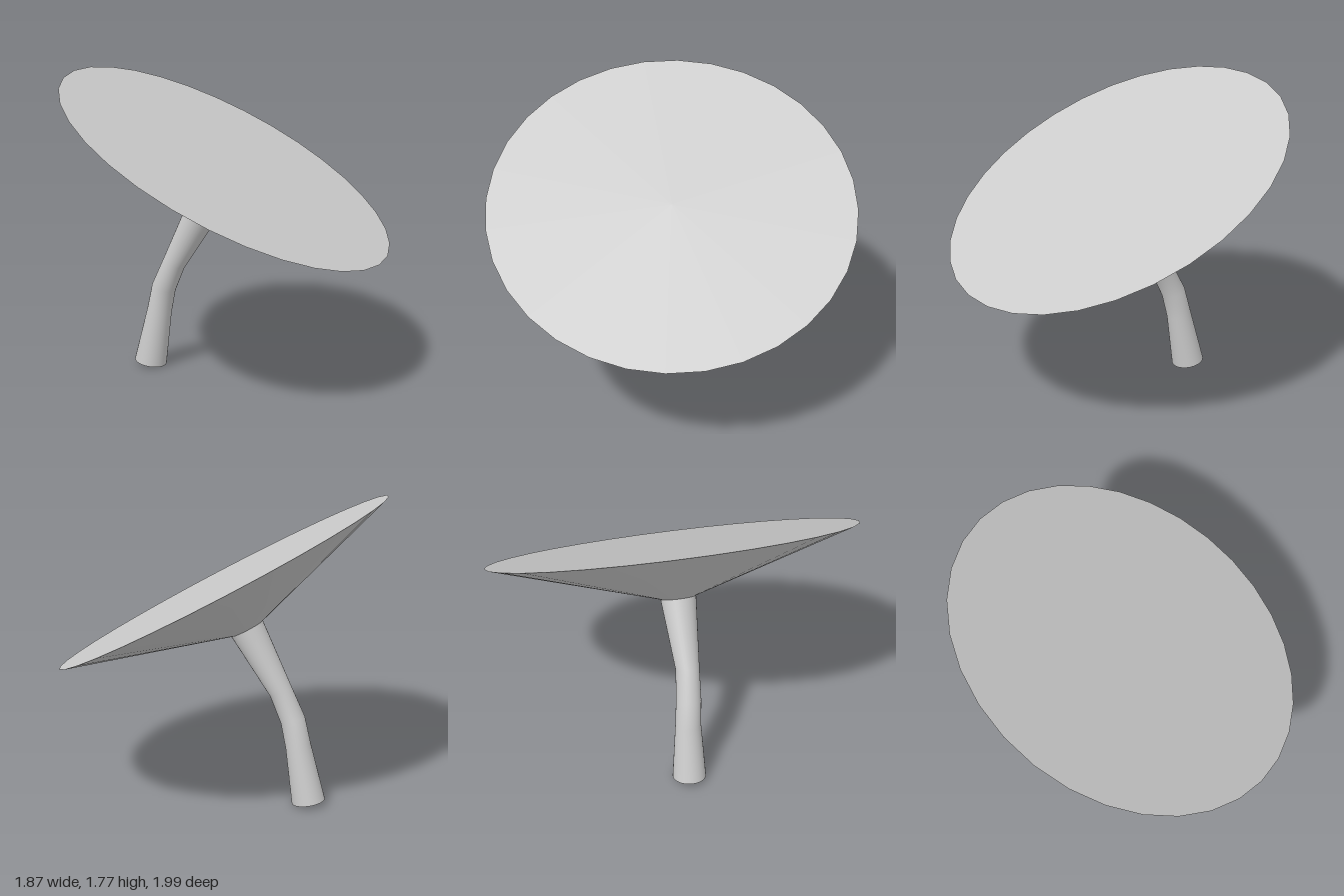
import * as THREE from 'three';

const SIDES = 32;
const V = (x, y, z) => new THREE.Vector3(x, y, z);

// Right-handed basis whose y axis is the given normal and x axis is closest to xHint
function frame(normal, xHint, origin) {
  const n = normal.clone().normalize();
  const u = xHint.clone().addScaledVector(n, -xHint.dot(n)).normalize();
  const w = u.clone().cross(n);
  return new THREE.Matrix4().makeBasis(u, n, w).setPosition(origin);
}

export function createModel() {
  const group = new THREE.Group();
  const material = new THREE.MeshStandardMaterial({ color: 0xcccccc });
  const add = (name, geometry) => {
    const mesh = new THREE.Mesh(geometry, material);
    mesh.name = name;
    group.add(mesh);
  };

  // Tilted cap: flat disc on top, shallow cone beneath
  const tilt = V(0.42, 0.874, 0.242).normalize();
  const xHint = V(0.93, -0.425, -0.08);
  const depth = 0.3;
  const cap = new THREE.CylinderGeometry(1.031, 0.1, depth, SIDES);
  cap.translate(0, -depth / 2, 0);
  cap.applyMatrix4(frame(tilt, xHint, V(0, 1.27, 0)));
  add('cap', cap);

  // Bent stem: rings of centre, radius and axis, from the foot to the cap
  const rings = [
    { c: V(-0.44, 0.018, -0.292), r: 0.096, n: V(0.15, 1, 0.12) },
    { c: V(-0.386, 0.345, -0.25), r: 0.073, n: V(0.17, 1, 0.15) },
    { c: V(-0.36, 0.495, -0.222), r: 0.071, n: V(0.25, 1, 0.21) },
    { c: V(-0.3, 0.655, -0.172), r: 0.067, n: V(0.44, 1, 0.28) },
    { c: V(-0.126, 1.008, -0.073), r: 0.1, n: tilt },
  ];
  const positions = [];
  const index = [];
  rings.forEach(({ c, r, n }, i) => {
    const m = frame(n, xHint, c);
    for (let j = 0; j < SIDES; j++) {
      const a = (j / SIDES) * Math.PI * 2;
      positions.push(...V(Math.sin(a) * r, 0, Math.cos(a) * r).applyMatrix4(m).toArray());
      if (i === 0) continue;
      const k = (j + 1) % SIDES;
      const low = (i - 1) * SIDES;
      const high = i * SIDES;
      index.push(low + j, low + k, high + j, low + k, high + k, high + j);
    }
  });
  const stem = new THREE.BufferGeometry();
  stem.setAttribute('position', new THREE.Float32BufferAttribute(positions, 3));
  stem.setIndex(index);
  stem.computeVertexNormals();
  add('stem', stem);

  // Flat underside of the stem
  const foot = new THREE.CircleGeometry(rings[0].r, SIDES);
  foot.rotateX(Math.PI / 2);
  foot.applyMatrix4(frame(rings[0].n, xHint, rings[0].c));
  add('stemFoot', foot);

  return group;
}
